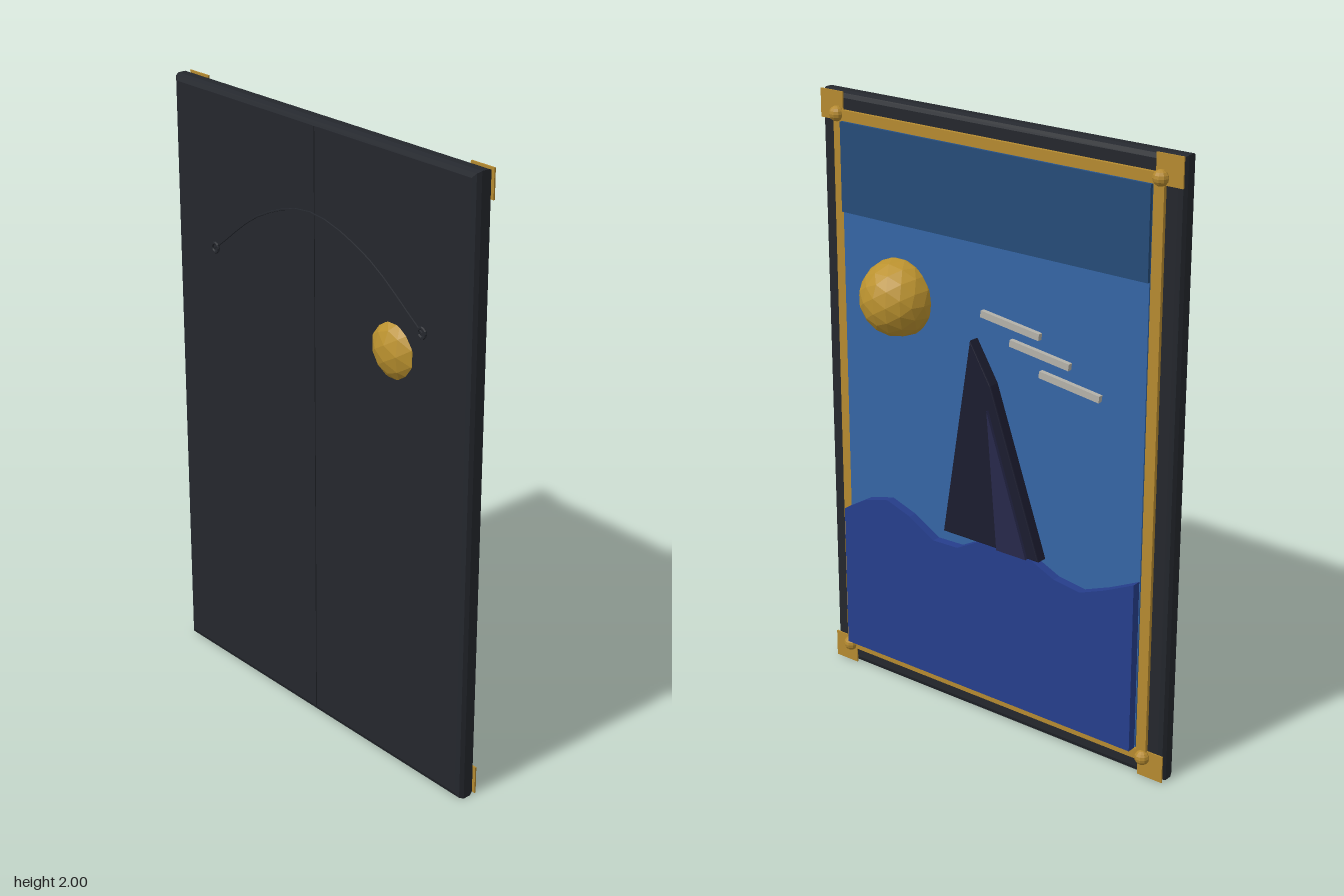
import * as THREE from 'three';

export function createModel() {
  const root = new THREE.Group();
  root.name = 'framedPicture';
  // Built facing local +z, then turned to face +x
  const art = new THREE.Group();
  art.name = 'panel';
  art.rotation.y = Math.PI / 2;
  root.add(art);

  const mat = (color, flat = true) => new THREE.MeshStandardMaterial({ color, flatShading: flat });
  const dark = mat(0x24272d), gold = mat(0xb58a30), sky = mat(0x3565a5), band = mat(0x254b78);
  const sea = mat(0x263e8c), sail = mat(0x1b1c2f), sailLight = mat(0x27284a), pale = mat(0xb4b2aa);

  function add(name, geo, material, x = 0, y = 0, z = 0) {
    const m = new THREE.Mesh(geo, material);
    m.name = name;
    m.position.set(x, y, z);
    art.add(m);
    return m;
  }
  // Box given by its limits
  const slab = (name, m, x0, x1, y0, y1, z0, z1) =>
    add(name, new THREE.BoxGeometry(x1 - x0, y1 - y0, z1 - z0), m, (x0 + x1) / 2, (y0 + y1) / 2, (z0 + z1) / 2);
  // Flat outline extruded from z0 to z1, with an optional chamfer inside the outline
  function plate(name, m, pts, z0, z1, bevel = 0) {
    const shape = new THREE.Shape(pts.map(p => new THREE.Vector2(...p)));
    const geo = new THREE.ExtrudeGeometry(shape, {
      depth: z1 - z0 - 2 * bevel, bevelEnabled: bevel > 0, bevelSize: bevel,
      bevelThickness: bevel, bevelOffset: -bevel, bevelSegments: 2,
    });
    return add(name, geo, m, 0, 0, z0 + bevel);
  }

  // Backing board with chamfered rim
  plate('board', dark, [[-0.68, 0], [0.68, 0], [0.68, 2], [-0.68, 2]], -0.09, -0.024, 0.02);
  slab('backSeam', dark, -0.004, 0.004, 0.02, 1.98, -0.093, -0.089);

  // Sky and darker upper band
  slab('sky', sky, -0.585, 0.585, 0.1, 1.91, -0.026, -0.008);
  slab('upperSky', band, -0.585, 0.585, 1.62, 1.91, -0.01, 0);

  // Gold rails, corner plates and studs
  for (const s of [-1, 1]) {
    const side = s < 0 ? 'right' : 'left';
    add(side + 'Rail', new THREE.BoxGeometry(0.036, 1.86, 0.014), gold, s * 0.604, 1, -0.019);
    add(s < 0 ? 'bottomRail' : 'topRail', new THREE.BoxGeometry(1.22, 0.036, 0.014), gold, 0, 1 + s * 0.926, -0.019);
    for (const t of [-1, 1]) {
      add('cornerPlate', new THREE.BoxGeometry(0.092, 0.092, 0.005), gold, s * 0.634, 1 + t * 0.954, -0.022);
      add('cornerStud', new THREE.SphereGeometry(0.025, 10, 8), gold, s * 0.609, 1 + t * 0.93, -0.014);
    }
  }

  // Wavy sea
  plate('sea', sea, [[-0.585, 0.1], [0.585, 0.1], [0.585, 0.675], [0.48, 0.625], [0.385, 0.588], [0.285, 0.602],
    [0.2, 0.64], [0.1, 0.665], [0, 0.65], [-0.1, 0.597], [-0.2, 0.594], [-0.3, 0.65], [-0.395, 0.682],
    [-0.49, 0.657], [-0.585, 0.6]], -0.004, 0.026);

  // Dark peak with a lighter facet in front
  plate('peak', sail, [[-0.145, 0.65], [0.235, 0.65], [0.045, 1.19], [-0.035, 1.32]], 0, 0.04, 0.004);
  plate('peakFacet', sailLight, [[0.078, 0.65], [0.193, 0.65], [0.038, 1.11]], 0.036, 0.05);

  // Sun, passing through the board
  add('sun', new THREE.IcosahedronGeometry(0.127, 2), mat(0xbb922f), -0.352, 1.385, 0);

  // Slanted cloud streaks
  for (const [x, y] of [[0.093, 1.388], [0.205, 1.318], [0.318, 1.243]]) {
    add('cloudStreak', new THREE.BoxGeometry(0.225, 0.022, 0.016), pale, x, y, 0).rotation.z = -0.125;
  }

  // Hanging wire and its eyelets on the back
  const wire = new THREE.CatmullRomCurve3([
    [-0.48, 1.48, -0.094], [-0.24, 1.65, -0.1], [0, 1.72, -0.105], [0.24, 1.65, -0.1], [0.48, 1.48, -0.094],
  ].map(p => new THREE.Vector3(...p)));
  add('hangingWire', new THREE.TubeGeometry(wire, 16, 0.003, 5), dark);
  for (const s of [-1, 1]) {
    add('eyelet', new THREE.TorusGeometry(0.015, 0.005, 6, 12), dark, s * 0.48, 1.48, -0.094);
  }
  return root;
}
